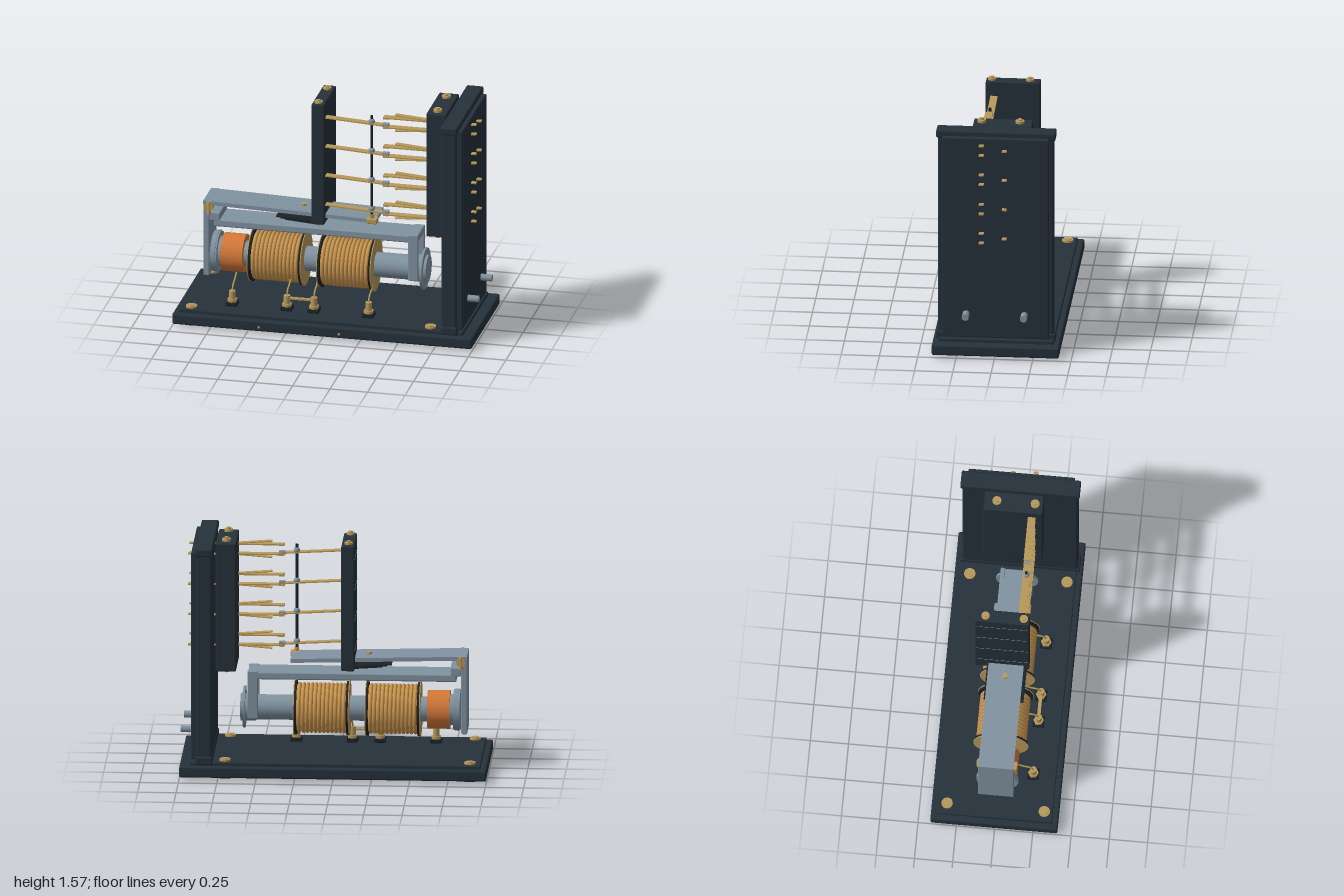
import * as THREE from 'three';
import { RoundedBoxGeometry } from 'three/addons/geometries/RoundedBoxGeometry.js';

const mat = (name, color) => {
  const m = new THREE.MeshStandardMaterial({ color });
  m.name = name;
  return m;
};

export function createModel() {
  const root = new THREE.Group();
  const ebonite = mat('ebonite', 0x25313a);
  const black = mat('black', 0x1a2228);
  const brass = mat('brass', 0xb8995a);
  const steel = mat('steel', 0x8193a1);
  const winding = mat('winding', 0xc8944e);
  const copper = mat('copper', 0xd47838);

  const add = (name, geo, material, x = 0, y = 0, z = 0) => {
    const m = new THREE.Mesh(geo, material);
    m.name = name;
    m.position.set(x, y, z);
    root.add(m);
    return m;
  };
  // box from its extents, optionally with softened edges
  const box = (name, material, x0, x1, y0, y1, z0, z1, r = 0) => {
    const s = [x1 - x0, y1 - y0, z1 - z0];
    const g = r ? new RoundedBoxGeometry(...s, 2, r) : new THREE.BoxGeometry(...s);
    return add(name, g, material, (x0 + x1) / 2, (y0 + y1) / 2, (z0 + z1) / 2);
  };
  // upright cylinder
  const post = (name, material, x, y0, y1, z, r, n = 20) =>
    add(name, new THREE.CylinderGeometry(r, r, y1 - y0, n), material, x, (y0 + y1) / 2, z);
  // cylinder along x
  const axle = (name, material, x0, x1, y, z, r, n = 40) => {
    const g = new THREE.CylinderGeometry(r, r, x1 - x0, n).rotateZ(Math.PI / 2);
    return add(name, g, material, (x0 + x1) / 2, y, z);
  };
  // flat blade running from one point to another in the xy plane
  const blade = (name, material, x0, y0, x1, y1, z, width, thick) => {
    const g = new THREE.BoxGeometry(Math.hypot(x1 - x0, y1 - y0), thick, width);
    const m = add(name, g, material, (x0 + x1) / 2, (y0 + y1) / 2, z);
    m.rotation.z = Math.atan2(y1 - y0, x1 - x0);
    return m;
  };

  // base, feet and corner screws
  box('base', ebonite, -1, 1, 0.015, 0.087, -0.42, 0.41, 0.012);
  box('basePlate', ebonite, -0.96, 0.93, 0.08, 0.11, -0.38, 0.37, 0.006);
  for (const x of [-0.89, 0.705]) for (const z of [-0.32, 0.315]) {
    post('foot', black, x, 0, 0.016, z, 0.052, 28);
    post('baseScrew', brass, x, 0.11, 0.122, z, 0.037);
    post('baseScrewSlot', brass, x, 0.122, 0.127, z, 0.024);
  }
  for (const x of [-0.42, 0.115]) {
    const pin = post('frontPin', brass, x, 0.04, 0.052, 0.41, 0.008, 10);
    pin.rotation.x = Math.PI / 2;
  }

  // upright end panel
  box('panel', ebonite, 0.79, 0.89, 0.09, 1.538, -0.377, 0.377, 0.012);
  box('panelCapBottom', ebonite, 0.785, 0.897, 0.092, 0.147, -0.39, 0.39, 0.01);
  box('panelCapTop', ebonite, 0.785, 0.897, 1.492, 1.542, -0.39, 0.39, 0.01);
  box('panelFace', ebonite, 0.88, 0.926, 0.12, 1.508, -0.348, 0.348, 0.008);
  for (const z of [-0.19, 0.19]) axle('panelTerminal', steel, 0.9, 1, 0.285, z, 0.023, 12);

  // two insulating stacks with through screws
  box('movingStack', ebonite, -0.13, -0.045, 0.69, 1.53, -0.21, 0.145, 0.008);
  box('fixedStack', ebonite, 0.64, 0.772, 0.68, 1.54, -0.225, 0.16, 0.008);
  for (const z of [-0.143, 0.107]) {
    post('movingScrew', brass, -0.09, 1.53, 1.543, z, 0.027);
    post('movingScrewTip', brass, -0.09, 0.675, 1.552, z, 0.014);
    post('fixedScrew', brass, 0.705, 1.54, 1.557, z, 0.029);
    post('fixedScrewTip', brass, 0.705, 0.66, 1.567, z, 0.015);
  }

  // four levels of contact springs
  const cz = 0.09;
  for (let i = 0; i < 4; i++) {
    const y = 1.43 - i * 0.2035;
    blade('movingSpring', brass, -0.06, y, 0.375, y - 0.025, cz, 0.048, 0.008);
    box('movingContact', steel, 0.335, 0.375, y - 0.032, y - 0.012, cz - 0.02, cz + 0.02);
    box('stackSeam', steel, -0.1315, -0.1295, y - 0.0012, y + 0.0012, -0.2, 0.135);
    for (const s of [1, -1]) {
      const fy = y + s * 0.033;
      box('fixedBlade', brass, 0.34, 0.65, fy - 0.004, fy + 0.004, cz - 0.025, cz + 0.025);
      box('fixedContact', brass, 0.34, 0.375, fy - 0.009, fy + 0.004, cz - 0.022, cz + 0.022);
      blade('backingSpring', brass, 0.42, fy + s * 0.022, 0.65, fy + s * 0.004, cz, 0.04, 0.006);
      box('bladePin', brass, 0.76, 0.96, fy - 0.004, fy + 0.004, cz - 0.016, cz + 0.016);
    }
    box('commonPin', brass, 0.76, 0.96, y - 0.004, y + 0.004, -0.075, -0.045);
    add('rodBead', new THREE.SphereGeometry(0.021, 16, 12), steel, 0.26, y - 0.006, cz);
  }

  // lifting rod
  post('liftRod', black, 0.26, 0.72, 1.465, cz, 0.009, 12);
  box('rodBracket', brass, 0.23, 0.3, 0.715, 0.75, 0.06, 0.12, 0.006);
  post('rodNut', brass, 0.26, 0.75, 0.775, cz, 0.017, 6);

  // armature with its hinge
  blade('armature', steel, -0.86, 0.764, 0.29, 0.732, -0.005, 0.23, 0.026);
  box('armatureLeg', steel, -0.86, -0.822, 0.255, 0.77, -0.12, 0.11, 0.004);
  for (const s of [-1, 1]) {
    const hinge = post('hingePin', brass, -0.82, 0.725, 0.755, s * 0.115, 0.03);
    hinge.rotation.x = Math.PI / 2;
    post('hingeScrew', brass, -0.82, 0.69, 0.775, s * 0.12, 0.014, 12);
  }
  post('armatureScrew', brass, -0.215, 0.745, 0.772, -0.005, 0.018);
  for (let i = 0; i < 3; i++)
    blade('stopLeaf', black, -0.37 + i * 0.03, 0.717 - i * 0.007, -0.1, 0.702 - i * 0.007, 0, 0.26, 0.006);

  // yoke: top bar, raised heel and forked end
  box('yokeBar', steel, -0.79, 0.57, 0.6, 0.65, -0.105, 0.105, 0.01);
  box('yokeHeel', steel, -0.82, -0.75, 0.638, 0.697, -0.105, 0.105, 0.008);
  for (const s of [-1, 1])
    box('yokeLeg', steel, 0.505, 0.572, 0.335, 0.655, s * 0.09 - 0.015, s * 0.09 + 0.015, 0.006);

  // magnet core, pole pieces and copper sleeve
  const cy = 0.39;
  axle('core', steel, -0.8, 0.525, cy, 0, 0.082);
  axle('poleDisc', steel, -0.812, -0.768, cy, 0, 0.133);
  axle('poleRim', steel, -0.802, -0.778, cy, 0, 0.138);
  axle('poleHub', steel, -0.77, -0.745, cy, 0, 0.1);
  axle('copperSleeve', copper, -0.745, -0.598, cy, 0, 0.126);
  axle('endHub', steel, 0.52, 0.62, cy, 0, 0.09);
  axle('endDisc', steel, 0.588, 0.603, cy, 0, 0.138);

  // wound coils between flanges
  const turns = 12;
  for (const [x0, x1] of [[-0.555, -0.195], [-0.092, 0.272]]) {
    axle('windingCore', winding, x0 + 0.02, x1 - 0.02, cy, 0, 0.153);
    const step = (x1 - x0 - 0.044) / turns;
    const ring = new THREE.TorusGeometry(0.153, step * 0.48, 8, 40).rotateY(Math.PI / 2);
    for (let i = 0; i < turns; i++)
      add('windingTurn', ring, winding, x0 + 0.022 + step * (i + 0.5), cy, 0);
    axle('flangeFace', brass, x0, x0 + 0.006, cy, 0, 0.18, 48);
    axle('flange', black, x0 + 0.006, x0 + 0.02, cy, 0, 0.177, 48);
    axle('flange', black, x1 - 0.02, x1 - 0.006, cy, 0, 0.177, 48);
    axle('flangeFace', brass, x1 - 0.006, x1, cy, 0, 0.18, 48);
  }

  // terminals with leads to the coils
  const tz = 0.22;
  for (const x of [-0.64, -0.275, -0.095, 0.27]) {
    box('terminalBase', black, x - 0.038, x + 0.038, 0.11, 0.136, tz - 0.038, tz + 0.038, 0.006);
    post('terminalNut', brass, x, 0.136, 0.155, tz, 0.034, 6);
    post('terminalPost', brass, x, 0.15, 0.21, tz, 0.022);
    const path = new THREE.CatmullRomCurve3([
      new THREE.Vector3(x, 0.2, tz), new THREE.Vector3(x, 0.24, tz - 0.02),
      new THREE.Vector3(x, 0.26, tz - 0.07), new THREE.Vector3(x, 0.29, tz - 0.12)]);
    add('lead', new THREE.TubeGeometry(path, 12, 0.006, 8), brass);
  }
  box('terminalLink', brass, -0.275, -0.095, 0.185, 0.197, tz - 0.011, tz + 0.011);

  return root;
}
